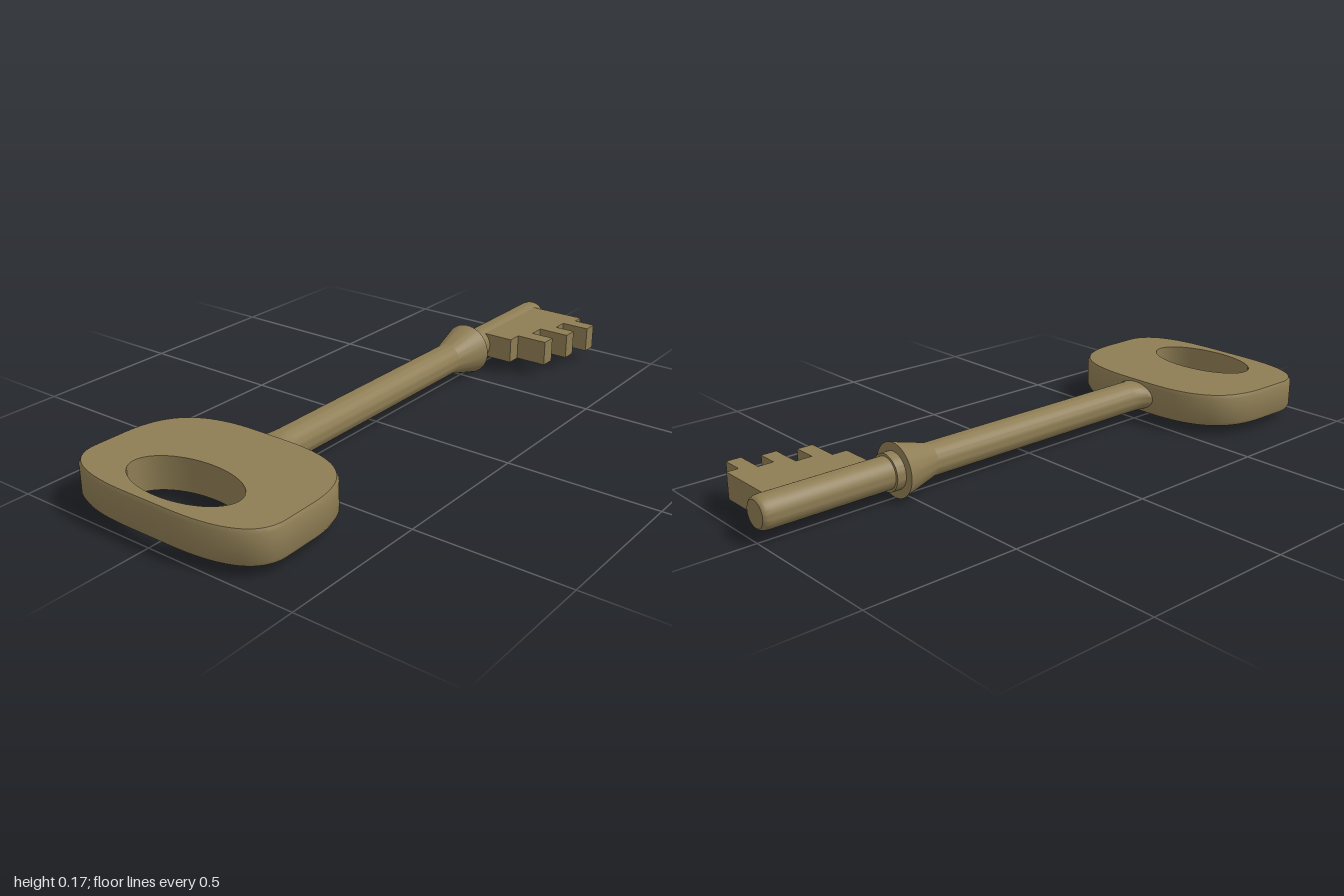
import * as THREE from 'three';
import { toCreasedNormals } from 'three/addons/utils/BufferGeometryUtils.js';

const AXIS_Y = 0.0875; // height of the shank's centre line

export function createModel() {
  const key = new THREE.Group();
  key.name = 'key';
  const brass = new THREE.MeshStandardMaterial({ color: 0x8e7d54 });
  brass.name = 'aged brass';

  const add = (name, geometry, crease = 0.4) => {
    const mesh = new THREE.Mesh(toCreasedNormals(geometry, crease), brass);
    mesh.name = name;
    mesh.position.y = AXIS_Y;
    key.add(mesh);
  };

  // Turned part along x from [x, radius] pairs
  const turned = (profile) =>
    new THREE.LatheGeometry(profile.map(([x, r]) => new THREE.Vector2(r, x)), 48).rotateZ(-Math.PI / 2);

  // Bow: rounded plate with an oval hole and a slim chamfer round the outside
  const outline = new THREE.Shape();
  outline.moveTo(-1, -0.08);
  outline.lineTo(-1, 0.08);
  outline.bezierCurveTo(-1, 0.26, -0.96, 0.363, -0.86, 0.365);
  outline.lineTo(-0.74, 0.363);
  outline.bezierCurveTo(-0.6, 0.358, -0.5, 0.3, -0.5, 0.06);
  outline.lineTo(-0.5, -0.06);
  outline.bezierCurveTo(-0.5, -0.3, -0.6, -0.358, -0.74, -0.363);
  outline.lineTo(-0.86, -0.365);
  outline.bezierCurveTo(-0.96, -0.363, -1, -0.26, -1, -0.08);
  const hole = new THREE.Path();
  hole.absellipse(-0.854, 0, 0.109, 0.198, 0, Math.PI * 2, false);
  outline.holes.push(hole);
  const bow = new THREE.ExtrudeGeometry(outline, { depth: 3, steps: 3, bevelEnabled: false, curveSegments: 24 });
  const p = bow.attributes.position;
  const layers = [-0.054, -0.042, 0.042, 0.054];
  for (let i = 0; i < p.count; i++) {
    const x = p.getX(i), y = p.getY(i), layer = Math.round(p.getZ(i));
    const outside = Math.hypot((x + 0.854) / 0.109, y / 0.198) > 1.05;
    if (outside && (layer === 0 || layer === 3)) {
      p.setX(i, -0.75 + (x + 0.75) * 0.98);
      p.setY(i, y * 0.983);
    }
    p.setZ(i, layers[layer]);
  }
  add('bow', bow.rotateX(Math.PI / 2), 0.6);

  // Shank: widens sideways and flattens where it meets the bow
  const shank = turned([
    [-0.53, 0.053], [-0.505, 0.053], [-0.49, 0.053], [-0.475, 0.053], [-0.46, 0.053], [-0.44, 0.053], [0.42, 0.053],
  ]);
  const s = shank.attributes.position;
  for (let i = 0; i < s.count; i++) {
    const t = THREE.MathUtils.clamp((-0.44 - s.getX(i)) / 0.065, 0, 1);
    s.setY(i, s.getY(i) * (1 - 0.13 * t * t));
    s.setZ(i, s.getZ(i) * (1 + 0.63 * t * t));
  }
  add('shank', shank, 0.7);

  // Flared collar with a narrow ring beyond it
  add('collar', turned([[0.41, 0.053], [0.536, 0.0875], [0.536, 0]]), 0.3);
  add('collarRing', turned([[0.53, 0.06], [0.567, 0.06], [0.567, 0]]));

  // Tip with a rounded edge and a flat end
  add('tip', turned([
    [0.56, 0.052], [0.972, 0.052], [0.987, 0.0505], [0.996, 0.047], [1, 0.042], [1, 0],
  ]), 0.6);

  // Bit: stepped teeth on the front side
  const teeth = [
    [0.608, 0.02], [0.608, 0.137], [0.658, 0.137], [0.658, 0.246], [0.711, 0.246], [0.711, 0.165],
    [0.766, 0.165], [0.766, 0.273], [0.817, 0.273], [0.817, 0.202], [0.869, 0.202], [0.869, 0.299],
    [0.918, 0.299], [0.918, 0.225], [0.957, 0.225], [0.957, 0.02],
  ];
  const bitShape = new THREE.Shape(teeth.map(([x, z]) => new THREE.Vector2(x, z)));
  const bit = new THREE.ExtrudeGeometry(bitShape, { depth: 0.085, bevelEnabled: false });
  add('bit', bit.translate(0, 0, -0.0425).rotateX(Math.PI / 2));

  return key;
}
